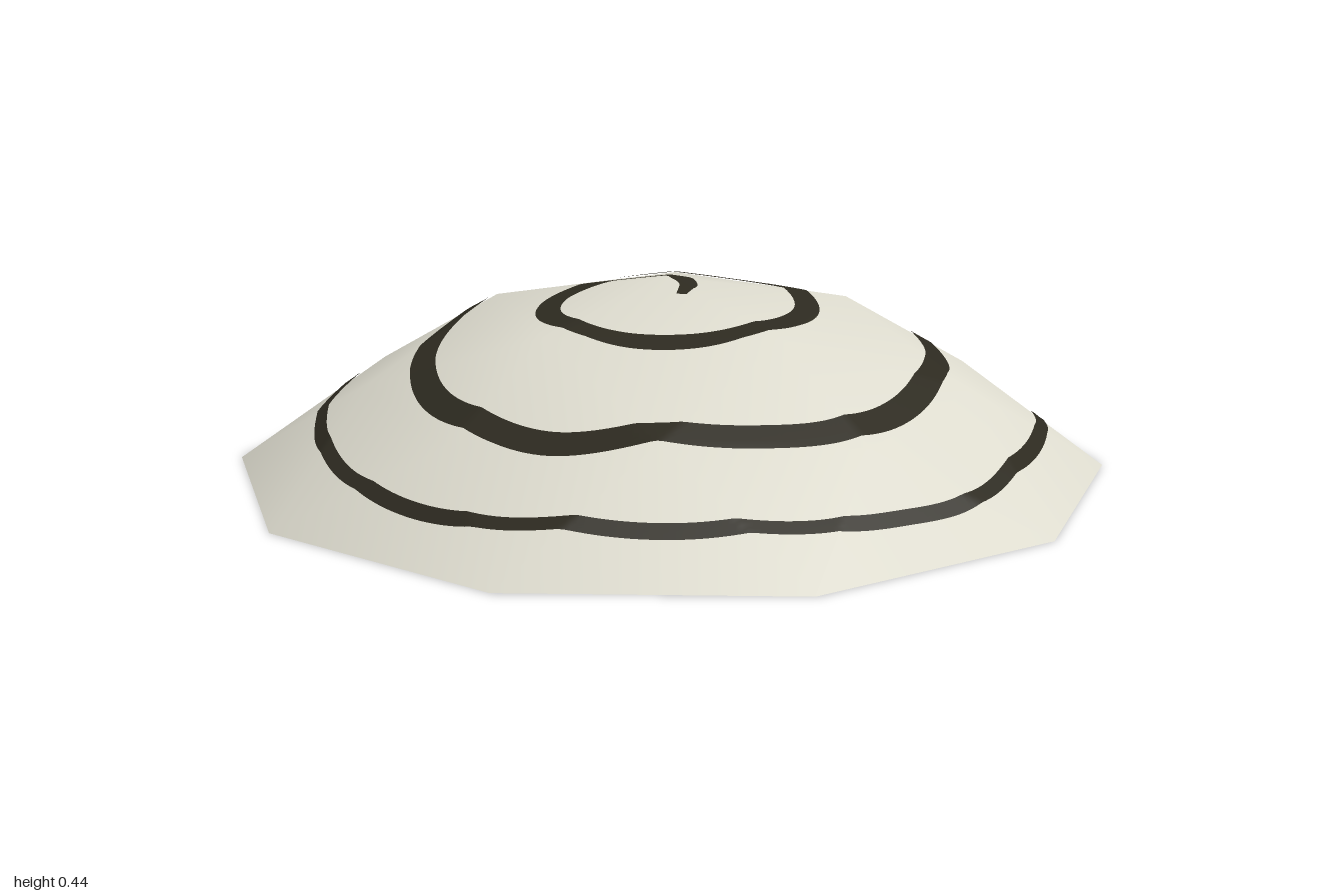
import * as THREE from 'three';

const shellMat = new THREE.MeshStandardMaterial({ color: 0xdddbce });
shellMat.name = 'ivory';
const stripeMat = new THREE.MeshStandardMaterial({ color: 0x2d2a20 });
stripeMat.name = 'dark brown';

const polar = (deg, r, y) => {
  const a = THREE.MathUtils.degToRad(deg);
  return new THREE.Vector3(r * Math.cos(a), y, r * Math.sin(a));
};

// Geodesic dome: apex 0, inner ring 1-5, main ring 6-10, in-between ring 11-15, rim 16-25
const verts = [new THREE.Vector3(0, 0.435, 0)];
for (let i = 0; i < 5; i++) verts.push(polar(72 * i, 0.43, 0.367));
for (let i = 0; i < 5; i++) verts.push(polar(72 * i, 0.73, 0.193));
for (let i = 0; i < 5; i++) verts.push(polar(72 * i + 36, 0.7, 0.227));
for (let k = 0; k < 10; k++) verts.push(polar(18 + 36 * k, 1, 0));

const A = (i) => 1 + (i % 5), B = (i) => 6 + (i % 5), C = (i) => 11 + (i % 5);
const E = (k) => 16 + ((k + 10) % 10);
const faces = [];
for (let i = 0; i < 5; i++) {
  faces.push(
    [0, A(i + 1), A(i)],
    [A(i), C(i), B(i)], [A(i), A(i + 1), C(i)], [A(i + 1), B(i + 1), C(i)],
    [B(i), C(i), E(2 * i)], [C(i), E(2 * i + 1), E(2 * i)],
    [C(i), B(i + 1), E(2 * i + 1)], [B(i), E(2 * i), E(2 * i - 1)],
  );
}

function makeGeometry(points, index) {
  const g = new THREE.BufferGeometry().setFromPoints(points);
  g.setIndex(index);
  g.computeVertexNormals();
  return g;
}

// Height of the dome surface above a ground position
function heightAt(x, z) {
  for (const [i, j, k] of faces) {
    const a = verts[i], b = verts[j], c = verts[k];
    const d = (b.z - c.z) * (a.x - c.x) + (c.x - b.x) * (a.z - c.z);
    const u = ((b.z - c.z) * (x - c.x) + (c.x - b.x) * (z - c.z)) / d;
    const v = ((c.z - a.z) * (x - c.x) + (a.x - c.x) * (z - c.z)) / d;
    const w = 1 - u - v;
    if (u > -1e-6 && v > -1e-6 && w > -1e-6) return u * a.y + v * b.y + w * c.y;
  }
  return 0;
}

// Spiral centre line, seen from above as x, z
const path = [
  -0.005, 0.115, 0.03, 0.05, 0.01, -0.035, -0.05, -0.09, -0.14, -0.108, -0.25, -0.045,
  -0.3, 0.08, -0.275, 0.215, -0.18, 0.32, -0.02, 0.365, 0.14, 0.32, 0.265, 0.185,
  0.305, 0.01, 0.265, -0.185, 0.137, -0.32, -0.095, -0.385, -0.34, -0.315, -0.515, -0.125,
  -0.59, 0.135, -0.55, 0.355, -0.415, 0.54, -0.215, 0.63, 0, 0.66, 0.205, 0.64,
  0.385, 0.515, 0.55, 0.27, 0.62, 0, 0.58, -0.2, 0.43, -0.45, 0.21, -0.665,
  0.01, -0.687, -0.21, -0.675, -0.445, -0.585, -0.58, -0.51, -0.68, -0.385, -0.775, -0.13,
  -0.808, 0.1, -0.765, 0.36, -0.595, 0.625, -0.395, 0.755, -0.155, 0.84, 0.065, 0.862,
  0.245, 0.825, 0.43, 0.755, 0.595, 0.6, 0.77, 0.355, 0.855, 0.145, 0.855, -0.17,
  0.735, -0.455, 0.47, -0.77, 0.245, -0.87, 0.07, -0.925, -0.075, -0.93, -0.24, -0.9,
];

// Thin painted band draped over the dome
function spiralGeometry() {
  const line = [];
  for (let i = 0; i < path.length; i += 2) line.push(new THREE.Vector3(path[i], 0, path[i + 1]));
  const curve = new THREE.CatmullRomCurve3(line, false, 'centripetal');
  curve.arcLengthDivisions = 1500;
  const steps = 900, across = 6, points = [], index = [];
  for (let s = 0; s <= steps; s++) {
    const t = s / steps;
    const p = curve.getPointAt(t), dir = curve.getTangentAt(t);
    // Wide on the inner turns, narrow on the outer one, tapered at both ends
    const body = THREE.MathUtils.lerp(0.056, 0.028, THREE.MathUtils.smoothstep(t, 0.38, 0.56));
    const width = body * Math.min(1, 0.4 + t * 60, 0.25 + (1 - t) * 16);
    for (let j = 0; j <= across; j++) {
      const o = (j / across - 0.5) * width;
      const x = p.x - dir.z * o, z = p.z + dir.x * o;
      points.push(new THREE.Vector3(x, heightAt(x, z) + 0.004, z));
      if (s < steps && j < across) {
        const a = s * (across + 1) + j, b = a + across + 1;
        index.push(a, a + 1, b, b, a + 1, b + 1);
      }
    }
  }
  return makeGeometry(points, index);
}

export function createModel() {
  const group = new THREE.Group();
  group.name = 'spiralShell';
  const add = (name, geometry, material) => {
    const mesh = new THREE.Mesh(geometry, material);
    mesh.name = name;
    group.add(mesh);
    return mesh;
  };

  add('dome', makeGeometry(verts, faces.flat()), shellMat);

  // Flat ten-sided underside
  const base = new THREE.CircleGeometry(1, 10, Math.PI / 10);
  base.rotateX(Math.PI / 2);
  add('underside', base, shellMat);

  add('spiralStripe', spiralGeometry(), stripeMat);
  return group;
}
